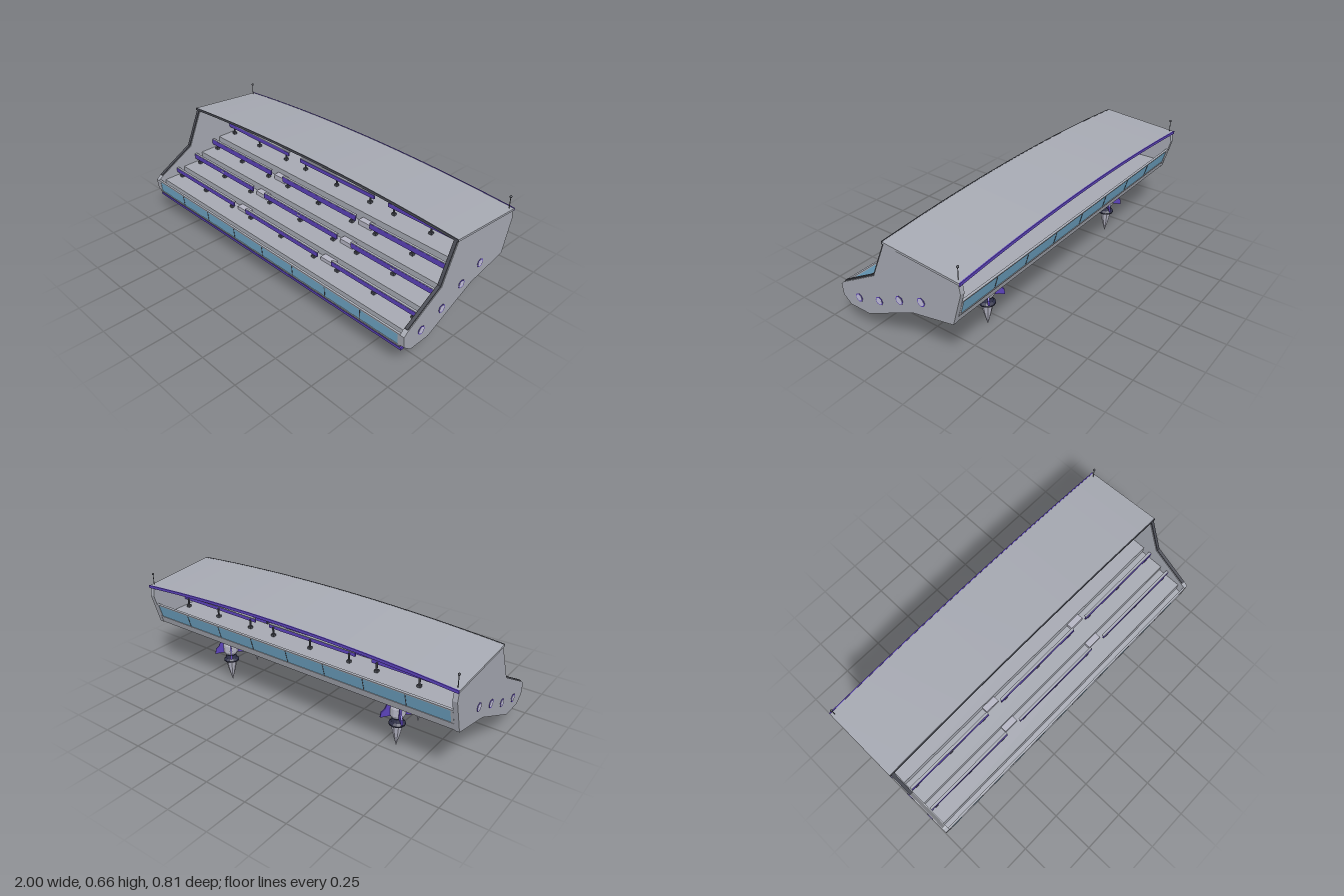
import * as THREE from 'three';

const mat = (name, color) => {
  const m = new THREE.MeshStandardMaterial({ color });
  m.name = name;
  return m;
};

export function createModel() {
  const grey = mat('light grey', 0xa6a9b2);
  const steel = mat('steel', 0xb4b4c2);
  const dark = mat('dark grey', 0x4a4c54);
  const navy = mat('dark navy', 0x2e3048);
  const purple = mat('purple', 0x5a41b8);
  const glass = mat('blue glass', 0x6fa6c6);
  const lens = mat('pale lens', 0xc3c0dc);
  const root = new THREE.Group();
  root.name = 'floatingGrandstand';

  const add = (name, geo, material, parent = root) => {
    const mesh = new THREE.Mesh(geo, material);
    mesh.name = name;
    parent.add(mesh);
    return mesh;
  };
  const box = (name, material, w, h, d, x, y, z, parent = root) => {
    const m = add(name, new THREE.BoxGeometry(w, h, d), material, parent);
    m.position.set(x, y, z);
    return m;
  };
  // Extrude a [z, y] outline along x
  const extrudeX = (pts, x0, x1) => {
    const shape = new THREE.Shape(pts.map(([z, y]) => new THREE.Vector2(-z, y)));
    const g = new THREE.ExtrudeGeometry(shape, { depth: x1 - x0, bevelEnabled: false });
    return g.rotateY(Math.PI / 2).translate(x0, 0, 0);
  };
  // Faceted turned part from [radius, y] points, bottom to top
  const turned = (pts, sides) => {
    const g = new THREE.LatheGeometry(pts.map(p => new THREE.Vector2(...p)), sides).toNonIndexed();
    g.computeVertexNormals();
    return g;
  };

  // Hull with the stepped tiers on top
  add('tieredHull', extrudeX([
    [0.35, 0.142], [0.22, 0.142], [-0.1, 0.292], [-0.35, 0.343], [-0.362, 0.385],
    [-0.074, 0.385], [-0.074, 0.325], [0.07, 0.325], [0.07, 0.275], [0.214, 0.275],
    [0.214, 0.235], [0.358, 0.235], [0.358, 0.18], [0.397, 0.178],
  ], -0.972, 0.972), grey);

  // Side walls
  const wall = [
    [0.055, 0.61], [0.15, 0.395], [0.385, 0.262], [0.404, 0.245], [0.398, 0.18], [0.35, 0.14],
    [0.22, 0.14], [-0.1, 0.29], [-0.35, 0.34], [-0.402, 0.525], [-0.392, 0.576],
  ];
  const edge = [
    [0.055, 0.61], [0.15, 0.395], [0.375, 0.268], [0.378, 0.273], [0.155, 0.4], [0.062, 0.612],
  ];
  for (const s of [-1, 1]) {
    const x0 = s > 0 ? 0.971 : -0.997;
    add('sideWall', extrudeX(wall, x0, x0 + 0.026), grey);
    add('wallEdgeTrim', extrudeX(edge, x0 + 0.004, x0 + 0.022), dark);
    // Octagonal portholes climbing with the tiers
    for (const [z, y] of [[0.278, 0.213], [0.13, 0.257], [-0.013, 0.325], [-0.157, 0.378]]) {
      const port = new THREE.Group();
      port.name = 'porthole';
      port.position.set(s * 0.997, y, z);
      port.rotation.z = -s * Math.PI / 2;
      add('portholeRim', new THREE.CylinderGeometry(0.024, 0.024, 0.004, 8), purple, port);
      add('portholeLens', new THREE.CylinderGeometry(0.019, 0.019, 0.006, 8), lens, port);
      root.add(port);
    }
    // Antenna at the rear roof corner
    add('antennaMast', new THREE.CylinderGeometry(0.002, 0.002, 0.065, 6), dark).position.set(s * 0.982, 0.62, -0.38);
    add('antennaBall', new THREE.SphereGeometry(0.007, 8, 6), dark).position.set(s * 0.982, 0.654, -0.38);
  }

  // Arched roof that falls toward the rear
  const arch = (z0, z1, lift, thick) => {
    const pts = [];
    for (let i = 0; i <= 16; i++) {
      const x = -1 + i / 8;
      pts.push(new THREE.Vector2(x, 0.66 + lift - 0.04 * x * x));
    }
    const under = pts.map(p => new THREE.Vector2(p.x, p.y - thick)).reverse();
    const g = new THREE.ExtrudeGeometry(new THREE.Shape([...pts, ...under]), { depth: z1 - z0, bevelEnabled: false });
    g.translate(0, 0, z0);
    const p = g.attributes.position;
    for (let i = 0; i < p.count; i++) p.setY(i, p.getY(i) - 0.076 * (0.06 - p.getZ(i)));
    g.computeVertexNormals();
    return g;
  };
  add('roof', arch(-0.398, 0.06, 0, 0.012), grey);
  add('roofFrontLip', arch(0.06, 0.066, 0.001, 0.014), dark);
  add('roofRearStripe', arch(-0.404, -0.398, 0.002, 0.016), purple);

  // Glazed parapets, each a leaning pane with a frame and dividers
  const parapet = (name, zLow, yLow, zHigh, yHigh) => {
    const g = new THREE.Group();
    g.name = name;
    g.position.set(0, (yLow + yHigh) / 2, (zLow + zHigh) / 2);
    g.rotation.x = Math.atan2(zHigh - zLow, yHigh - yLow);
    const h = Math.hypot(zHigh - zLow, yHigh - yLow);
    box('pane', glass, 1.92, h, 0.006, 0, 0, 0, g);
    for (const s of [-1, 1]) {
      box('frameRail', grey, 1.944, 0.008, 0.012, 0, s * h / 2, 0, g);
      box('frameEnd', grey, 0.014, h, 0.01, s * 0.965, 0, 0, g);
    }
    for (let i = -3; i <= 3; i++) box('divider', dark, 0.004, h, 0.009, i * 0.24, 0, 0, g);
    root.add(g);
  };
  parapet('frontParapet', 0.393, 0.173, 0.399, 0.246);
  parapet('rearParapet', -0.358, 0.383, -0.381, 0.466);
  box('frontBumperStrip', purple, 1.95, 0.014, 0.026, 0, 0.152, 0.38);

  // Rails on posts, in three sections between the two aisles
  const rows = [
    [0.267, 0.272, 0.026, 0.235], [0.123, 0.316, 0.03, 0.275],
    [-0.02, 0.369, 0.032, 0.325], [-0.165, 0.439, 0.024, 0.385],
  ];
  rows.forEach(([z, y, h, floor], row) => {
    for (const [x0, x1] of [[-0.968, -0.396], [-0.294, 0.294], [0.396, 0.968]]) {
      const mid = (x0 + x1) / 2;
      box('rail', purple, x1 - x0, h, 0.008, mid, y, z);
      box('railCap', grey, x1 - x0, 0.004, 0.014, mid, y + h / 2 + 0.001, z - 0.004);
      for (const x of [x0 + 0.035, mid, x1 - 0.035]) {
        box('railPost', dark, 0.008, y - floor, 0.008, x, (y + floor) / 2, z - 0.008);
        box('railFoot', dark, 0.02, 0.014, 0.02, x, floor + 0.007, z - 0.008);
      }
      if (row === 1) box('railPlate', lens, 0.025, 0.007, 0.01, mid, y + 0.003, z + 0.001);
    }
    // Half-height aisle steps against each riser
    if (row < 3) {
      const rise = (rows[row + 1][3] - floor) / 2;
      for (const s of [-1, 1]) box('aisleStep', steel, 0.09, rise, 0.036, s * 0.345, floor + rise / 2, z - 0.035);
    }
  });

  // Thrusters, drawn relative to the nozzle rim
  const fin = new THREE.Shape([
    [0.03, 0.05], [0.062, 0.048], [0.092, 0.043], [0.088, 0.072], [0.07, 0.09], [0.055, 0.125], [0.03, 0.125],
  ].map(p => new THREE.Vector2(...p)));
  const thruster = (x, z, scale, neckTop) => {
    const g = new THREE.Group();
    g.name = 'thruster';
    g.position.set(x, 0.145, z);
    g.scale.setScalar(scale);
    add('flameCone', turned([[0, -0.14], [0.023, -0.055], [0.033, 0]], 8), steel, g);
    add('nozzle', turned([[0, -0.003], [0.045, -0.003], [0.045, 0.004], [0.034, 0.015], [0.028, 0.035], [0.036, 0.046], [0.036, 0.05]], 12), navy, g);
    add('engineBody', turned([[0, 0.046], [0.036, 0.046], [0.043, 0.06], [0.043, 0.1], [0.036, 0.118], [0.036, 0.132], [0, 0.135]], 12), steel, g);
    add('neck', new THREE.CylinderGeometry(0.022, 0.022, neckTop - 0.13, 8), dark, g).position.y = (neckTop + 0.13) / 2;
    for (let i = 0; i < 4; i++) {
      const geo = new THREE.ExtrudeGeometry(fin, { depth: 0.01, bevelEnabled: false });
      geo.translate(0, 0, -0.005);
      add('fin', geo, purple, g).rotation.y = Math.PI / 4 + i * Math.PI / 2;
    }
    root.add(g);
  };
  for (const x of [-0.58, 0.58]) {
    thruster(x, -0.195, 1, 0.18);
    thruster(x, 0.03, 0.79, 0.15);
  }

  // Sensor dome under the middle of the hull
  add('sensorHousing', turned([[0, 0.252], [0.062, 0.252], [0.075, 0.264], [0.075, 0.285], [0.06, 0.3]], 16), grey).position.z = -0.085;
  add('sensorCone', turned([[0, 0.22], [0.04, 0.25], [0.04, 0.256]], 8), purple).position.z = -0.085;

  return root;
}
